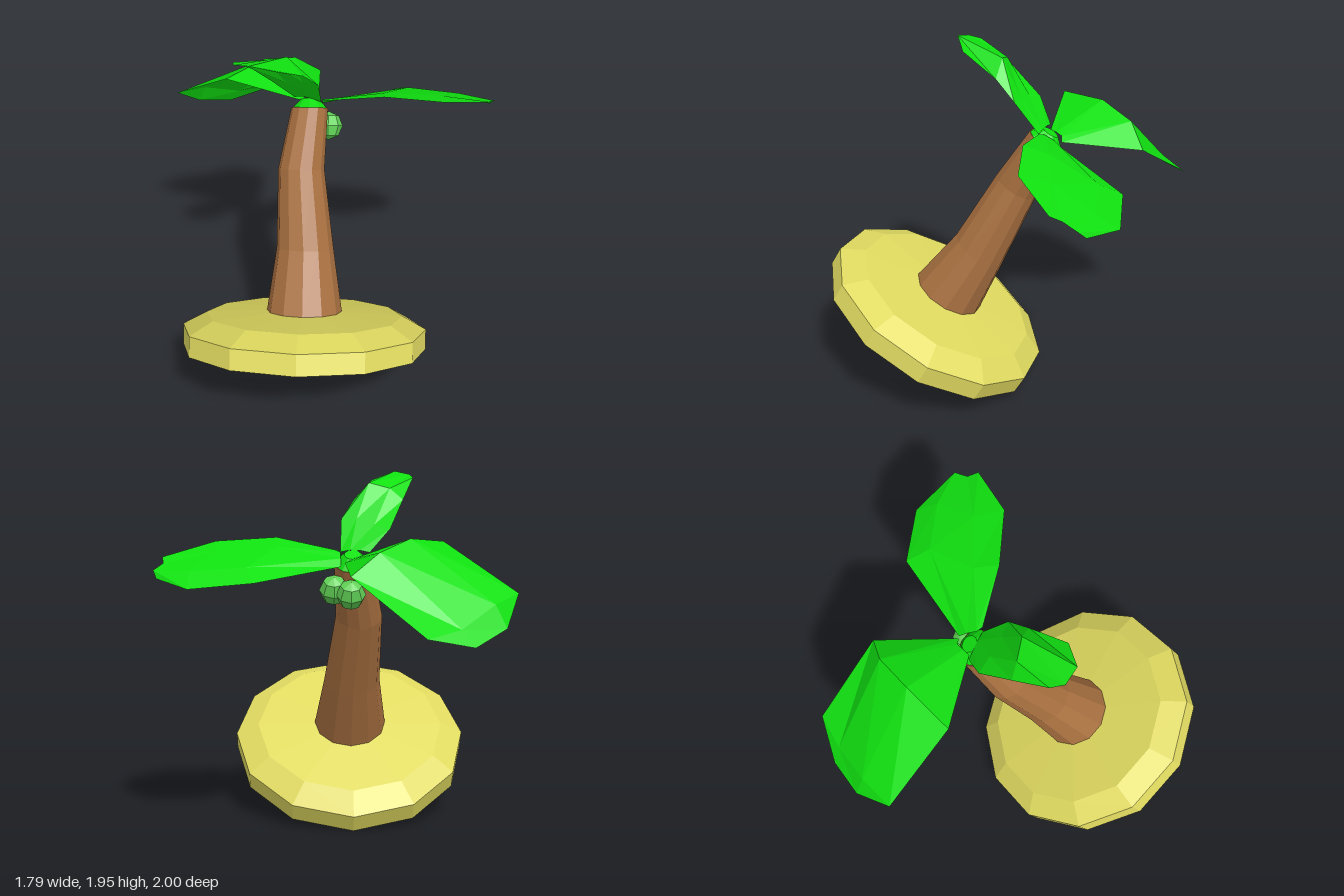
import * as THREE from 'three';

const flat = (name, color, side = THREE.FrontSide) => {
  const m = new THREE.MeshStandardMaterial({ color, flatShading: true, side });
  m.name = name;
  return m;
};

const TILT = -Math.PI / 6;

// Surface lofted through rows of points, each row running across the leaf
function leafGeometry(rows) {
  const n = rows[0].length;
  const index = [];
  for (let r = 0; r < rows.length - 1; r++) {
    for (let i = 0; i < n - 1; i++) {
      const a = r * n + i, b = a + n;
      index.push(a, b, a + 1, b, b + 1, a + 1);
    }
  }
  const g = new THREE.BufferGeometry();
  g.setAttribute('position', new THREE.Float32BufferAttribute(rows.flat(2), 3));
  g.setIndex(index);
  const out = g.toNonIndexed();
  out.computeVertexNormals();
  return out;
}

// Twelve-sided trunk; each ring is [height, radius, x offset, z offset]
function trunkGeometry(rings) {
  const g = new THREE.CylinderGeometry(1, 1, 1, 12, rings.length - 1);
  const p = g.attributes.position;
  for (let i = 0; i < p.count; i++) {
    const k = Math.round((p.getY(i) + 0.5) * (rings.length - 1));
    const [h, r, dx, dz] = rings[k];
    p.setXYZ(i, p.getX(i) * r + dx, h, p.getZ(i) * r + dz);
  }
  g.computeVertexNormals();
  return g;
}

// Cross rows from root to tip
const LEAVES = {
  rightwardLeaf: [
    [[-0.03, 1.53, -0.18], [-0.05, 1.52, -0.21], [-0.05, 1.49, -0.26], [-0.05, 1.45, -0.3]],
    [[0.28, 1.595, -0.11], [0.28, 1.55, -0.24], [0.42, 1.46, -0.48], [0.38, 1.39, -0.605]],
    [[0.6, 1.575, -0.1], [0.58, 1.53, -0.26], [0.7, 1.44, -0.46], [0.7, 1.36, -0.58]],
    [[0.86, 1.5, -0.25], [0.85, 1.47, -0.31], [0.89, 1.44, -0.38], [0.87, 1.4, -0.42]],
  ],
  backLeaf: [
    [[-0.17, 1.5, -0.24], [-0.14, 1.5, -0.27], [-0.11, 1.49, -0.3], [-0.07, 1.47, -0.3]],
    [[-0.57, 1.58, -0.31], [-0.38, 1.6, -0.52], [-0.22, 1.54, -0.67], [-0.08, 1.43, -0.73]],
    [[-0.9, 1.34, -0.59], [-0.76, 1.3, -0.74], [-0.58, 1.2, -0.89], [-0.41, 1.17, -1]],
    [[-0.9, 1.34, -0.59], [-0.81, 1.19, -0.78], [-0.64, 1.12, -0.92], [-0.41, 1.17, -1]],
  ],
  frontLeaf: [
    [[-0.2, 1.52, -0.24], [-0.15, 1.53, -0.22], [-0.1, 1.53, -0.2], [-0.05, 1.52, -0.18]],
    [[-0.31, 1.64, -0.18], [-0.23, 1.66, -0.13], [-0.14, 1.69, -0.08], [-0.06, 1.69, -0.05]],
    [[-0.39, 1.79, -0.02], [-0.32, 1.85, 0], [-0.21, 1.88, 0.02], [-0.13, 1.79, 0.05]],
    [[-0.46, 1.91, 0.15], [-0.45, 1.93, 0.22], [-0.37, 1.95, 0.27], [-0.24, 1.9, 0.23]],
  ],
};

export function createModel() {
  const sand = flat('sand', 0xe0da60);
  const bark = flat('bark', 0xa87040);
  const leaf = flat('leaf green', 0x10e010, THREE.DoubleSide);
  const nut = flat('coconut green', 0x60d055);

  const model = new THREE.Group();
  model.name = 'palmIsland';
  const add = (parent, name, geometry, material) => {
    const mesh = new THREE.Mesh(geometry, material);
    mesh.name = name;
    parent.add(mesh);
    return mesh;
  };

  // Leaning island and trunk
  const leaning = new THREE.Group();
  leaning.name = 'leaningBase';
  leaning.position.set(-0.125, 0.335, 0.425);
  leaning.rotation.x = TILT;
  model.add(leaning);

  const profile = [[0, 0], [0.664, 0], [0.664, 0.11], [0.535, 0.18], [0, 0.21]];
  add(leaning, 'island', new THREE.LatheGeometry(profile.map(([r, y]) => new THREE.Vector2(r, y)), 12), sand);

  add(leaning, 'trunk', trunkGeometry([
    [0.18, 0.207, 0, 0],
    [0.54, 0.155, -0.003, -0.015],
    [0.97, 0.125, -0.03, 0],
    [1.3, 0.098, 0.01, 0.01],
  ]), bark);

  // Green cap where the leaves meet
  const crown = add(leaning, 'crown', new THREE.CylinderGeometry(0.045, 0.095, 0.05, 10), leaf);
  crown.position.set(0.012, 1.325, 0.01);

  // Leaves
  for (const [name, rows] of Object.entries(LEAVES)) add(model, name, leafGeometry(rows), leaf);

  // Coconuts under the leaves
  [[-0.015, 1.33, -0.265], [-0.1, 1.31, -0.32]].forEach((p, i) => {
    const c = add(model, 'coconut' + (i + 1), new THREE.SphereGeometry(0.077, 8, 4), nut);
    c.position.set(...p);
    c.rotation.x = TILT;
  });

  return model;
}
